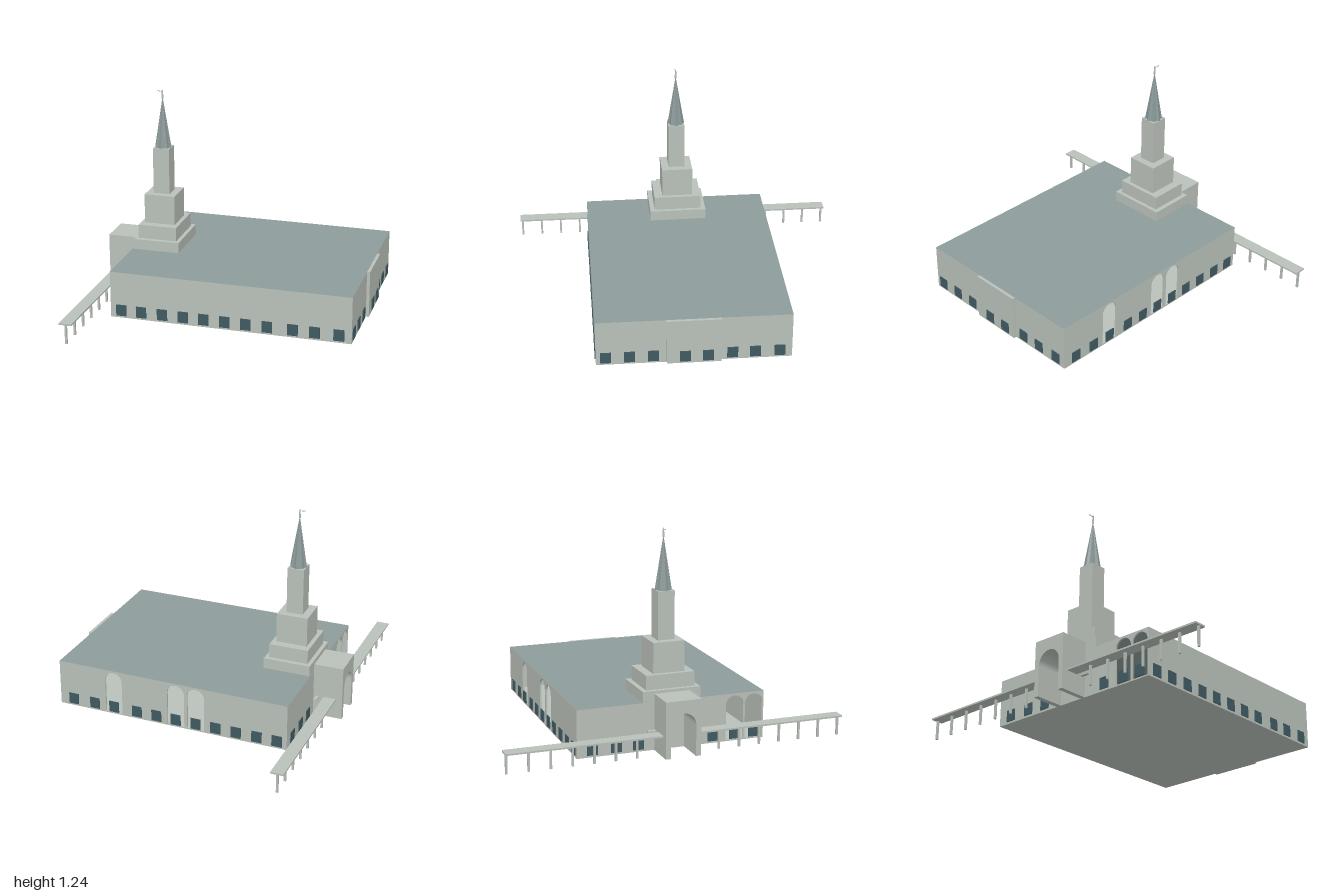
import * as THREE from 'three';

const mat = (name, color) => {
  const m = new THREE.MeshStandardMaterial({ color });
  m.name = name;
  return m;
};

export function createModel() {
  const stone = mat('pale stone', 0xb9c0b9);
  const slate = mat('slate grey', 0x8d9b9b);
  const glass = mat('dark glass', 0x405a62);
  const model = new THREE.Group();

  const add = (parent, name, geometry, material, x = 0, y = 0, z = 0) => {
    const mesh = new THREE.Mesh(geometry, material);
    mesh.name = name;
    mesh.position.set(x, y, z);
    parent.add(mesh);
    return mesh;
  };
  const box = (parent, name, w, h, d, x, y, z, material = stone) =>
    add(parent, name, new THREE.BoxGeometry(w, h, d), material, x, y, z);
  const group = (name, parent = model) => {
    const g = new THREE.Group();
    g.name = name;
    parent.add(g);
    return g;
  };
  // Round-headed opening
  const arch = (path, cx, bottom, top, width) => {
    const r = width / 2;
    path.moveTo(cx - r, bottom);
    path.lineTo(cx + r, bottom);
    path.lineTo(cx + r, top - r);
    path.absarc(cx, top - r, r, 0, Math.PI, false);
    path.lineTo(cx - r, bottom);
    return path;
  };

  // Main hall: slightly skewed plan, corners as [x, z]
  const corners = [[-0.645, 0.565], [0.785, 0.575], [0.80, -0.54], [-0.64, -0.56]];
  const HEIGHT = 0.28, SLAB = 0.005;
  const plan = new THREE.Shape(corners.map(([x, z]) => new THREE.Vector2(x, -z)));
  const slab = () => new THREE.ExtrudeGeometry(plan, { depth: SLAB, bevelEnabled: false }).rotateX(-Math.PI / 2);
  const hall = group('hall');
  add(hall, 'floor', slab(), stone);
  add(hall, 'roof', slab(), [slate, stone], 0, HEIGHT - SLAB, 0);

  // Wall from corner i to the next; local x runs along it, local z points outward
  function wall(name, i, windows, arches = []) {
    const [ax, az] = corners[i], [bx, bz] = corners[(i + 1) % 4];
    const length = Math.hypot(bx - ax, bz - az);
    const g = group(name, hall);
    g.position.set(ax, 0, az);
    g.rotation.y = Math.atan2(az - bz, bx - ax);
    const shape = new THREE.Shape();
    shape.moveTo(0, SLAB);
    shape.lineTo(length, SLAB);
    shape.lineTo(length, HEIGHT - SLAB);
    shape.lineTo(0, HEIGHT - SLAB);
    for (const u of arches) shape.holes.push(arch(new THREE.Path(), u, 0.008, 0.268, 0.107));
    const geo = new THREE.ExtrudeGeometry(shape, { depth: 0.01, bevelEnabled: false, curveSegments: 12 });
    add(g, name + 'Panel', geo, stone, 0, 0, -0.01);
    for (const [u, out] of windows) box(g, 'window', 0.062, 0.068, 0.006, u, 0.046, out + 0.002, glass);
    return g;
  }

  const bays = [-0.58, -0.458, -0.33, -0.204, -0.08, 0.046, 0.17, 0.296, 0.445, 0.572, 0.712];
  wall('frontWall', 0, bays.map(x => [x + 0.645, 0]));
  const sideBays = [0.52, 0.385, 0.25, 0.07, -0.06, -0.2, -0.33, -0.47];
  const east = wall('eastWall', 1, sideBays.map(z => [0.575 - z, Math.abs(z) < 0.1 ? 0.018 : 0]));
  box(east, 'projectingBay', 0.31, HEIGHT, 0.018, 0.555, HEIGHT / 2, 0.009);
  wall('backWall', 2, bays.map(x => [0.8 - x, 0]), [0.445, 0.046, -0.08].map(x => 0.8 - x));
  wall('westWall', 3, [-0.47, -0.33, -0.2, 0.25, 0.385, 0.503].map(z => [z + 0.56, 0]),
    [0.385, 0.503].map(z => z + 0.56));

  // Stepped tower: [width, bottom, top]
  const tower = group('tower');
  tower.position.set(-0.495, 0, 0.002);
  for (const [w, y0, y1] of [[0.284, 0.28, 0.343], [0.238, 0.343, 0.427], [0.188, 0.427, 0.605], [0.1, 0.605, 0.885]])
    box(tower, 'towerTier', w, y1 - y0, w * (w > 0.2 ? 1.22 : 1), 0, (y0 + y1) / 2, 0);

  // Pleated spire: every second base corner is pulled inward
  const cone = new THREE.ConeGeometry(0.051, 0.31, 16, 1, true);
  const p = cone.attributes.position;
  for (let i = 0; i < p.count; i++) {
    if (p.getY(i) > 0) continue;
    const step = Math.round(Math.atan2(p.getZ(i), p.getX(i)) / (Math.PI / 8));
    if (step % 2) p.setXYZ(i, p.getX(i) * 0.84, p.getY(i), p.getZ(i) * 0.84);
  }
  const spire = cone.toNonIndexed();
  spire.computeVertexNormals();
  add(tower, 'spire', spire, slate, 0, 1.04, 0);

  // Finial figure with a horn
  add(tower, 'finialBody', new THREE.CylinderGeometry(0.004, 0.006, 0.045, 8), stone, 0, 1.205, 0);
  add(tower, 'finialHead', new THREE.SphereGeometry(0.004, 8, 6), stone, 0, 1.231, 0);
  const horn = add(tower, 'finialHorn', new THREE.CylinderGeometry(0.0015, 0.003, 0.03, 6), stone, -0.018, 1.226, 0);
  horn.rotation.z = -Math.PI / 2 - 0.1;

  // Entrance porch: arched passage facing -x
  const porchShape = new THREE.Shape();
  const R = 0.075, TOP = 0.255;
  porchShape.moveTo(-0.105, 0);
  porchShape.lineTo(-R, 0);
  porchShape.lineTo(-R, TOP - R);
  porchShape.absarc(0, TOP - R, R, Math.PI, 0, true);
  porchShape.lineTo(R, 0);
  porchShape.lineTo(0.105, 0);
  porchShape.lineTo(0.105, 0.328);
  porchShape.lineTo(-0.105, 0.328);
  const porch = add(model, 'entrancePorch',
    new THREE.ExtrudeGeometry(porchShape, { depth: 0.177, bevelEnabled: false, curveSegments: 16 }), stone, -0.643, 0, 0);
  porch.rotation.y = -Math.PI / 2;

  // Covered walkways either side of the porch
  const walkway = group('walkway');
  walkway.position.x = -0.745;
  walkway.rotation.y = -0.007;
  for (const s of [-1, 1]) {
    box(walkway, 'walkwayRoof', 0.075, 0.01, 0.897, 0, 0.12, s * 0.5515);
    box(walkway, 'sideLedge', 0.02, 0.01, 0.052, 0.075, 0.12, s * 0.13);
    for (let i = 0; i < 7; i++)
      box(walkway, 'walkwayPost', 0.012, 0.115, 0.012, 0, 0.0575, s * (0.988 - i * 0.124));
  }
  return model;
}
